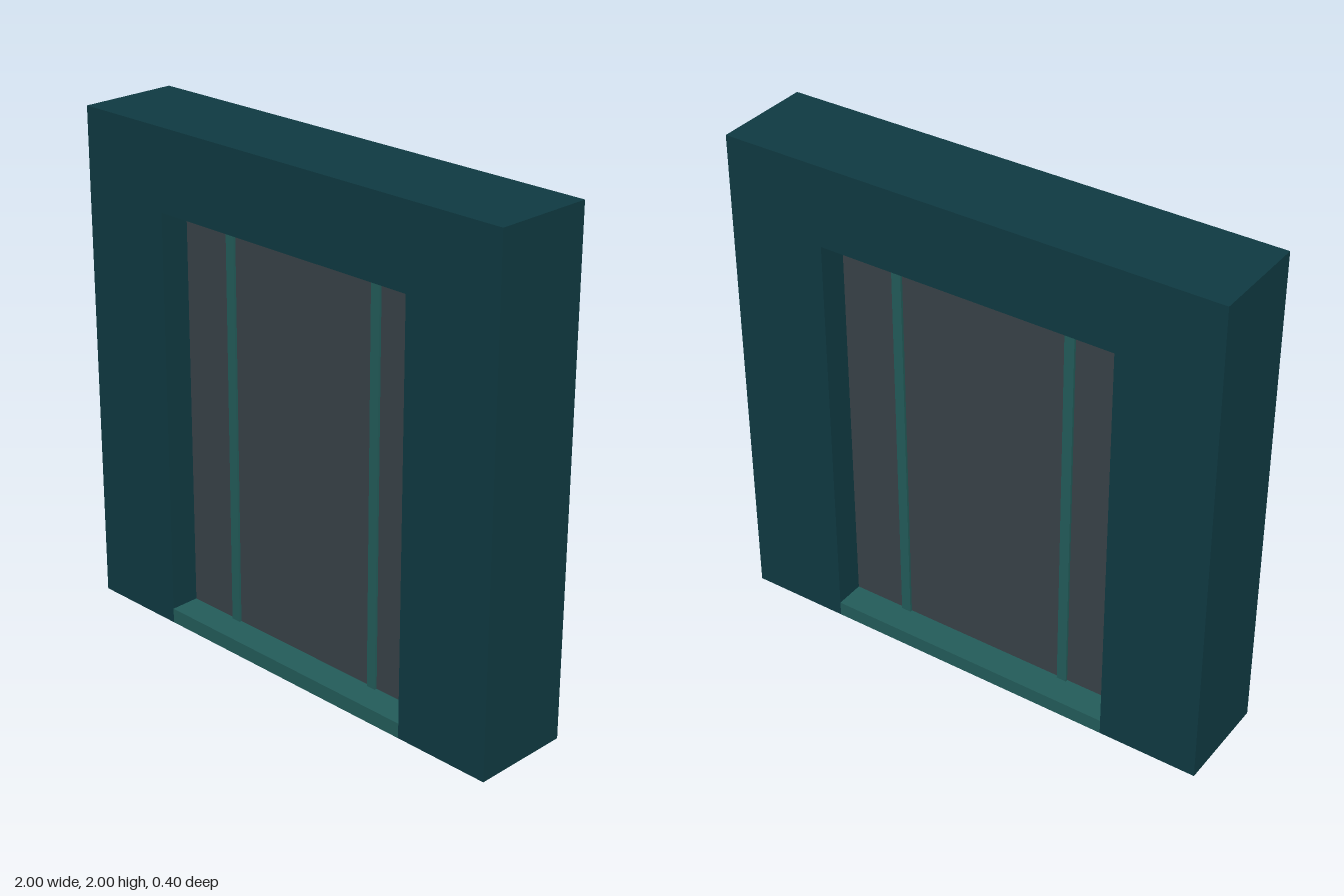
import * as THREE from 'three';

const material = (name, color) => {
  const m = new THREE.MeshStandardMaterial({ color });
  m.name = name;
  return m;
};

export function createModel() {
  const group = new THREE.Group();
  group.name = 'doorway';
  const wall = material('dark teal', 0x0f3a42);
  const trim = material('light teal', 0x235c5a);
  const panel = material('slate grey', 0x384248);

  const add = (name, geometry, mat, x, y, z) => {
    const mesh = new THREE.Mesh(geometry, mat);
    mesh.name = name;
    mesh.position.set(x, y, z);
    group.add(mesh);
  };

  // Surround: one extruded arch with a square opening down to the floor
  const outline = new THREE.Shape([
    [-1, 0], [-0.6, 0], [-0.6, 1.68], [0.6, 1.68],
    [0.6, 0], [1, 0], [1, 2], [-1, 2],
  ].map(([x, y]) => new THREE.Vector2(x, y)));
  const frame = new THREE.ExtrudeGeometry(outline, { depth: 0.4, bevelEnabled: false });
  add('frame', frame, wall, 0, 0, -0.2);

  // Threshold and recessed door
  add('threshold', new THREE.BoxGeometry(1.2, 0.06, 0.4), trim, 0, 0.03, 0);
  add('doorPanel', new THREE.BoxGeometry(1.2, 1.62, 0.16), panel, 0, 0.87, 0);

  // Upright strips, slightly proud of the door on both faces
  for (const x of [-0.36, 0.36]) {
    add('doorStrip', new THREE.BoxGeometry(0.04, 1.62, 0.18), trim, x, 0.87, 0);
  }
  return group;
}
